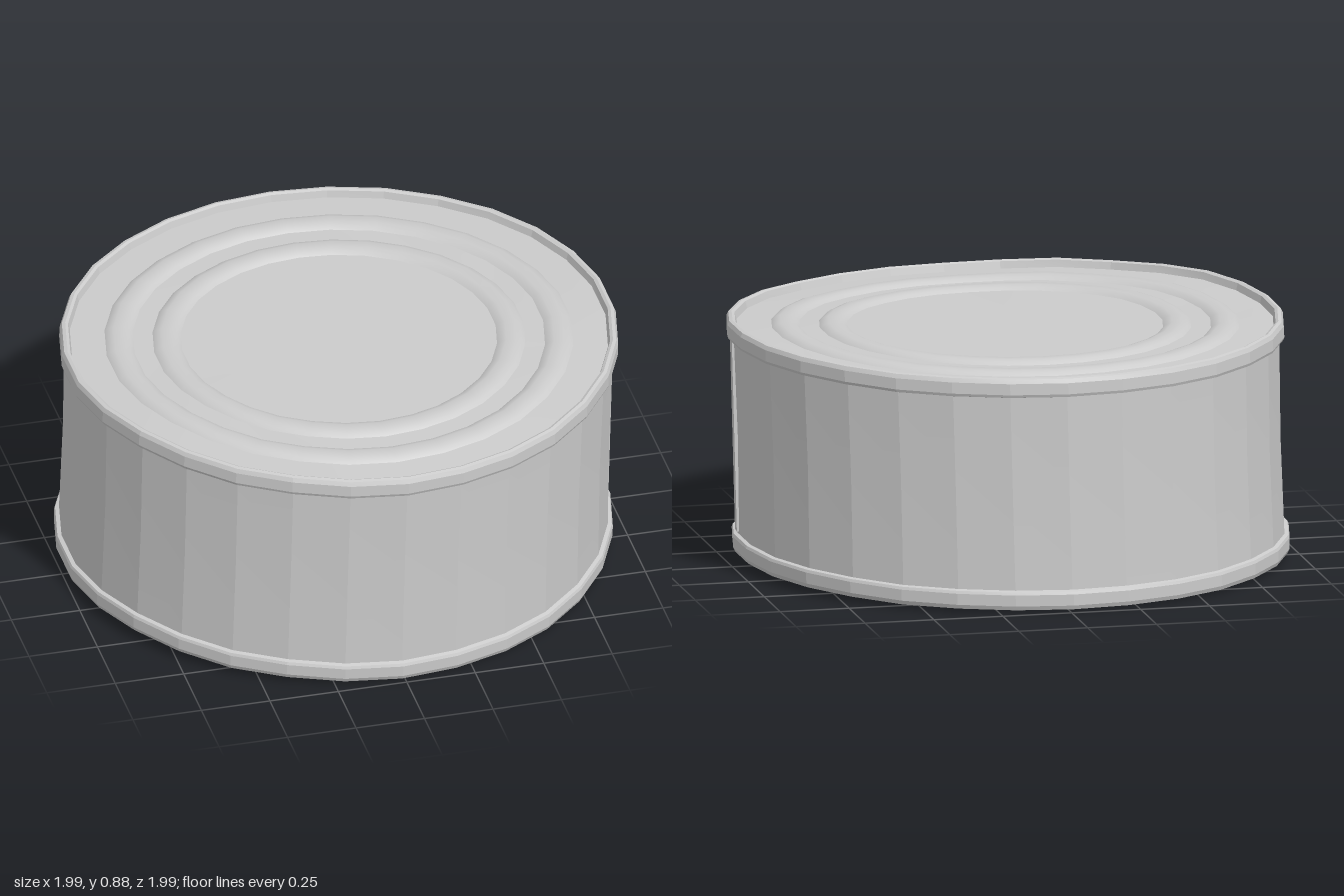
import * as THREE from 'three';
import { toCreasedNormals } from 'three/addons/utils/BufferGeometryUtils.js';

const SIDES = 30;
const HEIGHT = 0.84;

// How far the edge of the can is lifted, every 30 degrees from the front towards +x
const LIFT = [0, 0, 0.015, 0.032, 0.023, 0.012, 0.007, 0.007, 0.015, 0.025, 0.038, 0.02];
const MEAN = LIFT.reduce((a, b) => a + b) / LIFT.length;

function edgeLift(x, z) {
  const u = ((Math.atan2(x, z) / (2 * Math.PI) + 1) % 1) * 12;
  const i = Math.floor(u) % 12;
  const f = u - Math.floor(u);
  const s = f * f * (3 - 2 * f);
  return LIFT[i] * (1 - s) + LIFT[(i + 1) % 12] * s;
}

// Gently buckle and lean the can so it looks dented
function warp(geometry) {
  const p = geometry.attributes.position;
  for (let i = 0; i < p.count; i++) {
    const x = p.getX(i), y = p.getY(i), z = p.getZ(i);
    const r = Math.min(1, Math.hypot(x, z));
    const lean = (2 * y) / HEIGHT - 1;
    p.setXYZ(i, x + 0.01 * lean, y + MEAN + (edgeLift(x, z) - MEAN) * r * r, z + 0.005 * lean);
  }
  return geometry;
}

export function createModel() {
  const can = new THREE.Group();
  can.name = 'tinCan';
  const metal = new THREE.MeshStandardMaterial({ color: 0xcccccc, side: THREE.DoubleSide });

  function add(name, geometry, crease) {
    const mesh = new THREE.Mesh(toCreasedNormals(warp(geometry), crease), metal);
    mesh.name = name;
    can.add(mesh);
  }
  const lathe = (points) =>
    new THREE.LatheGeometry(points.map(([r, y]) => new THREE.Vector2(r, y)), SIDES);
  // Mirror an upper profile to the bottom, keeping the faces outward
  const flip = (points) => points.map(([r, y]) => [r, HEIGHT - y]).reverse();

  // Side wall, slightly pinched halfway up
  add('body', lathe([[0.972, 0.06], [0.967, 0.42], [0.972, 0.78]]), 0.15);

  // Rolled rims
  const rim = [
    [0.97, 0.768], [0.986, 0.772], [0.99, 0.782], [0.989, 0.822],
    [0.982, 0.837], [0.97, 0.84], [0.96, 0.835], [0.953, 0.81],
  ];
  add('topRim', lathe(rim), 0.2);
  add('bottomRim', lathe(flip(rim)), 0.2);

  // Recessed lids with two raised rings
  const ring = (r) => [
    [r + 0.05, 0.812], [r + 0.037, 0.822], [r + 0.018, 0.828],
    [r - 0.018, 0.828], [r - 0.037, 0.822], [r - 0.05, 0.812],
  ];
  const lid = [[0.953, 0.81], ...ring(0.78), ...ring(0.61), [0.3, 0.811], [0, 0.811]];
  add('topLid', lathe(lid), 0.5);
  add('bottomLid', lathe(flip(lid)), 0.5);

  // Vertical side seam
  const seam = new THREE.BoxGeometry(0.02, 0.69, 0.06, 1, 4, 1);
  seam.translate(0.967, 0.425, 0);
  seam.rotateY(-0.113);
  add('sideSeam', seam, 0.3);

  return can;
}
